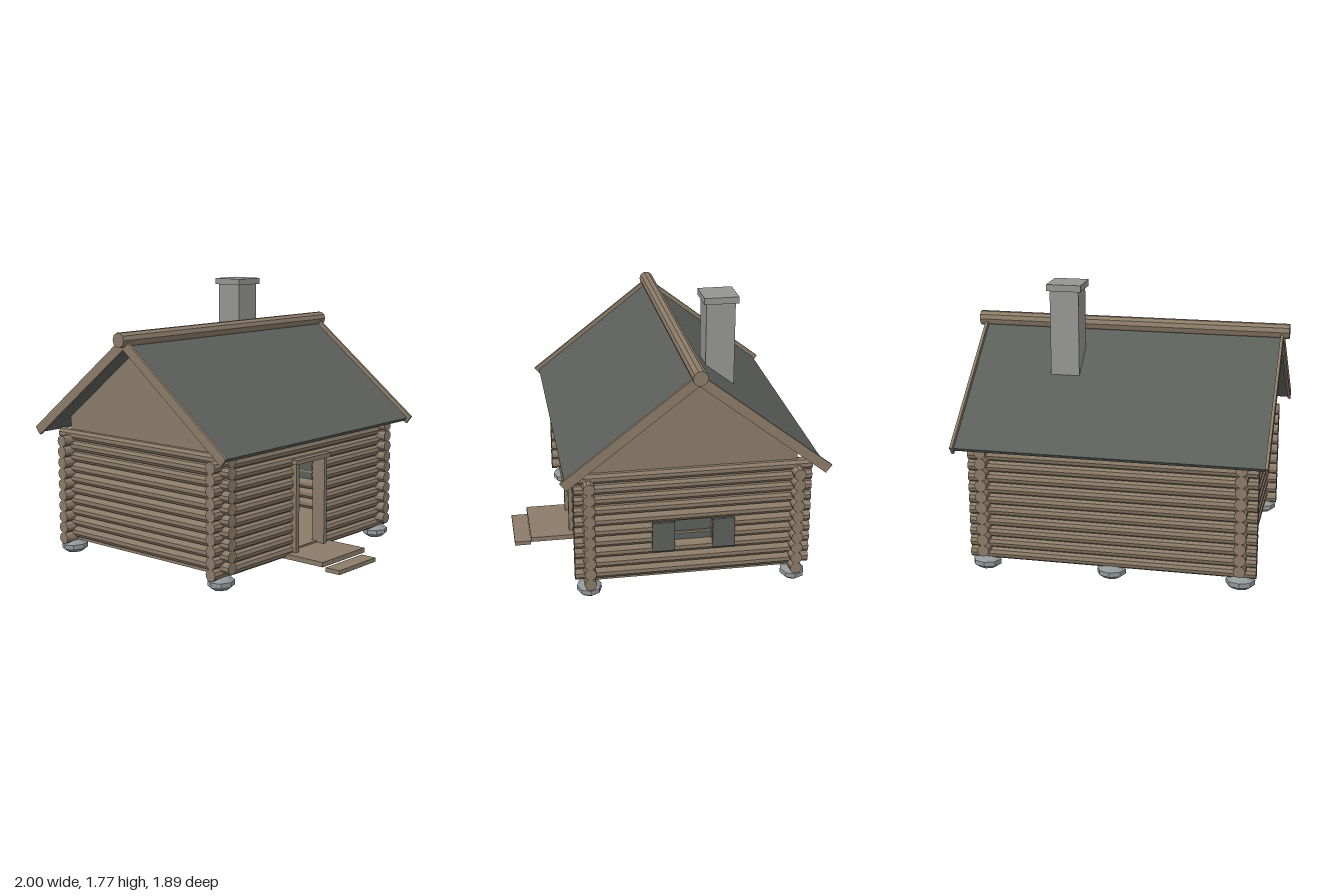
import * as THREE from 'three';

const mat = (name, color) => {
  const m = new THREE.MeshStandardMaterial({ color, flatShading: true });
  m.name = name;
  return m;
};

export function createModel() {
  const wood = mat('wood', 0x8b7b69);
  const slate = mat('darkSlate', 0x5b5f5a);
  const brick = mat('chimneyGrey', 0x959593);
  const rock = mat('stoneGrey', 0x92979a);

  const model = new THREE.Group();
  model.name = 'logCabin';

  const add = (name, geo, material, x = 0, y = 0, z = 0) => {
    const mesh = new THREE.Mesh(geo, material);
    mesh.name = name;
    mesh.position.set(x, y, z);
    model.add(mesh);
    return mesh;
  };
  // Box given by its limits on each axis
  const box = (name, material, x0, x1, y0, y1, z0, z1) =>
    add(name, new THREE.BoxGeometry(x1 - x0, y1 - y0, z1 - z0), material,
      (x0 + x1) / 2, (y0 + y1) / 2, (z0 + z1) / 2);
  // Logs running along x or z
  const logX = (name, x0, x1, y, z, r = 0.038) =>
    add(name, new THREE.CylinderGeometry(r, r, x1 - x0, 10).rotateZ(Math.PI / 2), wood, (x0 + x1) / 2, y, z);
  const logZ = (name, z0, z1, y, x, r = 0.038) =>
    add(name, new THREE.CylinderGeometry(r, r, z1 - z0, 10).rotateX(Math.PI / 2), wood, x, y, (z0 + z1) / 2);

  const WX = 0.803, ZF = 0.525, ZB = -0.768, ZC = -0.12;

  // Interlocking log walls, cut for the door and the window
  for (let i = 0; i < 10; i++) {
    const y = 0.116 + i * 0.0718;
    logX('backLog', -0.9, 0.9, y, ZB);
    if (i < 8) {
      logX('frontLog', -0.9, -0.14, y, ZF);
      logX('frontLog', 0.14, 0.9, y, ZF);
    } else logX('frontLog', -0.9, 0.9, y, ZF);

    const ys = y + 0.036;
    logZ('sideLog', -0.86, 0.613, ys, -WX);
    if (i === 3 || i === 4) {
      logZ('sideLog', -0.86, -0.24, ys, WX);
      logZ('sideLog', -0.005, 0.613, ys, WX);
    } else logZ('sideLog', -0.86, 0.613, ys, WX);
  }

  // Floor and foundation stones
  box('floor', wood, -WX, WX, 0.095, 0.115, ZB, ZF);
  for (const x of [-WX, 0, WX]) for (const z of [ZF, ZB]) {
    add('foundationStone', new THREE.SphereGeometry(1, 8, 5).scale(0.095, 0.048, 0.081), rock, x, 0.053, z);
  }

  // Door frame, open door leaf and steps
  box('doorPost', wood, -0.162, -0.13, 0.105, 0.68, 0.49, 0.585);
  box('doorPost', wood, 0.13, 0.158, 0.105, 0.68, 0.49, 0.585);
  box('doorLintel', wood, -0.175, 0.175, 0.675, 0.705, 0.48, 0.6);
  box('door', slate, -0.132, -0.118, 0.118, 0.585, 0.27, 0.52);
  box('upperStep', wood, -0.222, 0.222, 0.075, 0.106, 0.53, 0.842);
  box('lowerStep', wood, -0.192, 0.192, 0.04, 0.067, 0.842, 0.948);

  // Window with shutters
  box('windowPane', slate, 0.795, 0.803, 0.32, 0.485, -0.25, 0.005);
  box('windowBar', wood, 0.79, 0.815, 0.38, 0.395, -0.24, -0.005);
  box('shutter', slate, 0.83, 0.848, 0.285, 0.48, -0.005, 0.135);
  box('shutter', slate, 0.83, 0.848, 0.285, 0.48, -0.38, -0.242);

  // Plates with a side outline of [z, y] points, given thickness along x
  const plate = (name, material, pts, x, width) => {
    const shape = new THREE.Shape(pts.map(([z, y]) => new THREE.Vector2(-z, y)));
    const geo = new THREE.ExtrudeGeometry(shape, { depth: width, bevelEnabled: false });
    geo.translate(0, 0, -width / 2).rotateY(Math.PI / 2);
    return add(name, geo, material, x);
  };

  // Gables
  for (const x of [-WX, WX]) {
    plate('gable', wood, [[ZF, 0.79], [ZF, 0.915], [ZC, 1.43], [ZB, 0.915], [ZB, 0.79]], x, 0.02);
  }

  // Roof slopes and barge boards, mirrored about the ridge
  for (const s of [1, -1]) {
    const side = (pts) => pts.map(([d, y]) => [ZC + s * d, y]);
    plate('roofSlope', slate, side([[0, 1.42], [0, 1.452], [0.792, 0.837], [0.776, 0.817]]), 0, 1.9);
    for (const x of [-0.955, 0.955]) {
      plate('bargeBoard', wood, side([[0, 1.41], [0, 1.487], [0.823, 0.848], [0.785, 0.8]]), x, 0.018);
    }
  }
  logX('ridgeLog', -1, 1, 1.471, ZC, 0.047);

  // Chimney
  box('chimney', brick, 0.272, 0.453, 0.115, 1.74, -0.441, -0.26);
  box('chimneyCap', brick, 0.254, 0.47, 1.735, 1.776, -0.459, -0.243);

  return model;
}
